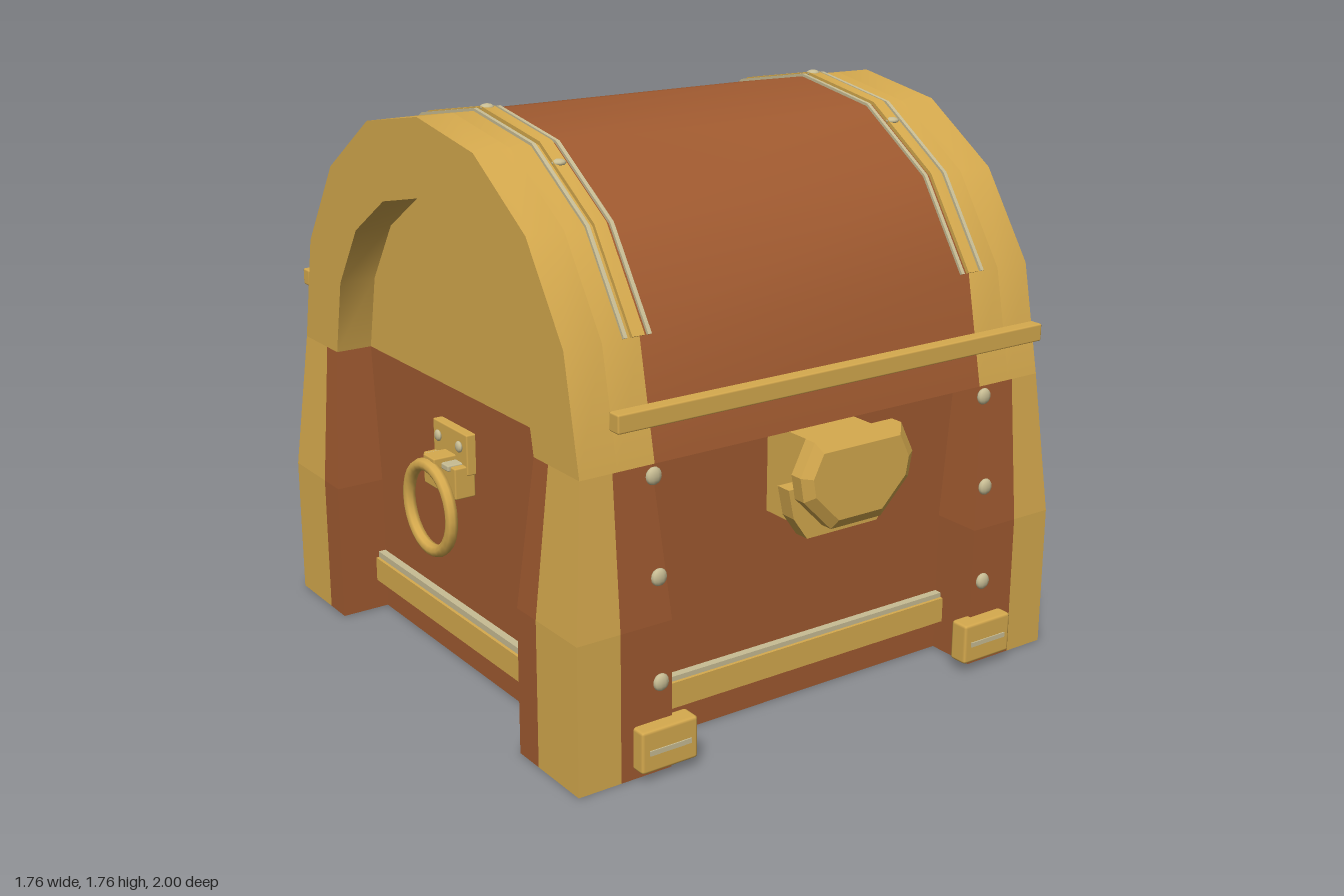
import * as THREE from 'three';
import { toCreasedNormals } from 'three/addons/utils/BufferGeometryUtils.js';
import { RoundedBoxGeometry } from 'three/addons/geometries/RoundedBoxGeometry.js';

const material = (name, color) => {
  const m = new THREE.MeshStandardMaterial({ color });
  m.name = name;
  return m;
};

export function createModel() {
  const gold = material('gold', 0xd6aa4e);
  const wood = material('wood', 0xa05a30);
  const pale = material('paleMetal', 0xc8bd94);
  const root = new THREE.Group();
  root.name = 'treasureChest';

  const add = (name, geometry, mat, x = 0, y = 0, z = 0) => {
    const mesh = new THREE.Mesh(geometry, mat);
    mesh.name = name;
    mesh.position.set(x, y, z);
    root.add(mesh);
    return mesh;
  };
  // Box given by its limits
  const box = (name, mat, x0, x1, y0, y1, z0, z1) =>
    add(name, new THREE.BoxGeometry(x1 - x0, y1 - y0, z1 - z0), mat,
      (x0 + x1) / 2, (y0 + y1) / 2, (z0 + z1) / 2);
  const rounded = (name, mat, x0, x1, y0, y1, z0, z1, r = 0.01) =>
    add(name, new RoundedBoxGeometry(x1 - x0, y1 - y0, z1 - z0, 1, r), mat,
      (x0 + x1) / 2, (y0 + y1) / 2, (z0 + z1) / 2);
  const shapeOf = (points) => new THREE.Shape(points.map(([a, b]) => new THREE.Vector2(a, b)));
  // Side profile of [z, y] points, extruded from x0 to x1
  const extrudeX = (name, mat, points, x0, x1) => {
    const g = new THREE.ExtrudeGeometry(shapeOf(points), { depth: x1 - x0, bevelEnabled: false });
    g.rotateY(-Math.PI / 2).translate(x1, 0, 0);
    return add(name, toCreasedNormals(g, 0.6), mat);
  };
  const rivet = (x, y, z, dir, r = 0.026) => {
    const m = add('rivet', new THREE.SphereGeometry(r, 10, 8), pale, x, y, z);
    m.scale[dir] = 0.5;
  };
  // Full arch from its front half
  const arch = (half) => [...half, ...half.slice(0, -1).reverse().map(([z, y]) => [-z, y])];
  const grow = (points, k) => points.map(([z, y]) => [z * k, 0.9 + (y - 0.9) * k]);

  // Body core, reaching down to the floor
  box('body', wood, -0.72, 0.72, 0, 0.9, -0.72, 0.72);

  // Corner posts: straight below, tapering toward the lid
  const taper = (c, t) => {
    const a = Math.abs(c);
    const top = 0.61 + ((a - 0.57) / 0.31) * 0.23;
    return Math.sign(c) * (a + (top - a) * t);
  };
  const postPart = (name, mat, sx, sz, x0, x1, z0, z1) => {
    let g = new THREE.BoxGeometry(x1 - x0, 0.9, z1 - z0, 1, 2, 1);
    g.translate((sx * (x0 + x1)) / 2, 0.45, (sz * (z0 + z1)) / 2);
    const p = g.attributes.position;
    for (let i = 0; i < p.count; i++) {
      const t = Math.max(0, (p.getY(i) - 0.45) / 0.45);
      p.setX(i, taper(p.getX(i), t));
      p.setZ(i, taper(p.getZ(i), t));
    }
    g = g.toNonIndexed();
    g.computeVertexNormals();
    add(name, g, mat);
  };
  for (const sx of [-1, 1]) for (const sz of [-1, 1]) {
    postPart('cornerPost', gold, sx, sz, 0.74, 0.88, 0.67, 0.88);
    postPart('postInnerFace', wood, sx, sz, 0.57, 0.74, 0.57, 0.88);
    postPart('postInnerSide', wood, sx, sz, 0.74, 0.88, 0.57, 0.67);
    for (const [y, z] of [[0.87, 0.85], [0.585, 0.875], [0.275, 0.885]])
      rivet(sx * 0.61, y, sz * z, 'z');
    // Foot clasp with a thin slot plate
    const cx = sx * 0.605;
    const zs = [sz * 0.86, sz * 0.925].sort((a, b) => a - b);
    rounded('footClasp', gold, cx - 0.095, cx + 0.095, 0.03, 0.16, zs[0], zs[1]);
    box('footClaspSlot', pale, cx - 0.07, cx + 0.07, 0.085, 0.1, sz * 0.925 - 0.004, sz * 0.925 + 0.004);
  }

  // Lower trim on all four sides with a pale top edge
  for (const s of [-1, 1]) {
    box('trimFrontBack', gold, -0.57, 0.57, 0.1, 0.18, s * 0.735 - 0.02, s * 0.735 + 0.02);
    box('trimEdge', pale, -0.57, 0.57, 0.18, 0.195, s * 0.73 - 0.015, s * 0.73 + 0.015);
    box('trimSide', gold, s * 0.735 - 0.02, s * 0.735 + 0.02, 0.1, 0.18, -0.57, 0.57);
    box('trimSideEdge', pale, s * 0.73 - 0.015, s * 0.73 + 0.015, 0.18, 0.2, -0.57, 0.57);
  }

  // Lid: wooden vault, gold ends with a recessed arch
  const outer = arch([[0.84, 0.9], [0.77, 1.24], [0.59, 1.51], [0.32, 1.69], [0, 1.745]]);
  const inner = arch([[0.61, 0.9], [0.56, 1.14], [0.43, 1.335], [0.235, 1.46], [0, 1.51]]);
  extrudeX('lidVault', wood, outer, -0.6, 0.6);
  for (const s of [-1, 1]) {
    const span = (a, b) => (s > 0 ? [a, b] : [-b, -a]);
    extrudeX('lidEnd', gold, outer, ...span(0.6, 0.72));
    extrudeX('lidArchRim', gold, [...outer, ...inner.slice().reverse()], ...span(0.72, 0.84));

    // Strap over the lid with pale side lines
    const top = outer.slice(1, -1);
    const strap = (k) => [...grow(top, k), ...grow(top, 0.99).reverse()];
    extrudeX('lidStrap', gold, strap(1.014), ...span(0.59, 0.63));
    for (const x of [0.565, 0.643]) extrudeX('strapLine', pale, strap(1.01), ...span(x, x + 0.012));
    for (const [z, y] of [[0, 1.752], [0.39, 1.65], [-0.39, 1.65]]) rivet(s * 0.61, y, z, 'y', 0.022);
  }

  // Cross bars in front of and behind the lid
  rounded('frontBar', gold, -0.77, 0.77, 1.035, 1.09, 0.875, 0.92, 0.006);
  rounded('backBar', gold, -0.77, 0.77, 1.035, 1.09, -1.0, -0.955, 0.006);

  // Hinges on the back
  const hinge = [[-0.72, 1.14], [-0.89, 1.14], [-0.96, 1.08], [-0.96, 0.81], [-0.89, 0.73], [-0.72, 0.73]];
  for (const s of [-1, 1]) {
    const cx = s * 0.49;
    extrudeX('hinge', gold, hinge, cx - 0.115, cx + 0.115);
    rounded('hingePlate', gold, cx - 0.1, cx + 0.1, 0.92, 1.1, -0.99, -0.95);
    const pin = add('hingePin', new THREE.CylinderGeometry(0.03, 0.03, 0.25, 10), gold, cx, 0.905, -0.85);
    pin.rotation.z = Math.PI / 2;
    for (const dx of [-0.07, 0.07]) rivet(cx + dx, 0.865, -0.965, 'z');
  }

  // Lock: backing block, lower plate and a bevelled face with keyhole
  box('lockBlock', gold, -0.12, 0.12, 0.62, 0.89, 0.72, 0.9);
  const plate = shapeOf([[-0.2, 0.76], [-0.18, 0.67], [-0.13, 0.6], [0.13, 0.6], [0.18, 0.67], [0.2, 0.76]]);
  add('lockPlate', new THREE.ExtrudeGeometry(plate, { depth: 0.05, bevelEnabled: false }), gold, 0, 0, 0.87);
  const face = shapeOf([[-0.175, 0.81], [-0.14, 0.88], [0.14, 0.88], [0.175, 0.81], [0.165, 0.755],
    [0.08, 0.67], [-0.08, 0.67], [-0.165, 0.755]]);
  const keyhole = [[-0.045, 0.7], [-0.025, 0.77], [-0.045, 0.8], [-0.03, 0.825], [0.03, 0.825],
    [0.045, 0.8], [0.025, 0.77], [0.045, 0.7]];
  face.holes.push(shapeOf(keyhole));
  add('lockFace', new THREE.ExtrudeGeometry(face, {
    depth: 0.04, bevelEnabled: true, bevelThickness: 0.02, bevelSize: 0.03, bevelOffset: 0, bevelSegments: 1,
  }), gold, 0, 0, 0.938);
  box('keyholeBack', gold, -0.12, 0.12, 0.67, 0.88, 0.89, 0.945);

  // Ring handles on both sides
  for (const s of [-1, 1]) {
    const side = (name, mat, a, b, y0, y1, z0, z1) =>
      rounded(name, mat, Math.min(s * a, s * b), Math.max(s * a, s * b), y0, y1, z0, z1, 0.005);
    side('handlePlate', gold, 0.71, 0.75, 0.66, 0.79, -0.14, 0.07);
    side('handleBracket', gold, 0.72, 0.79, 0.59, 0.69, -0.135, 0.065);
    side('handleEdge', pale, 0.74, 0.8, 0.675, 0.695, -0.11, 0.04);
    side('handleLoop', gold, 0.74, 0.825, 0.675, 0.71, -0.07, 0);
    for (const z of [0.03, -0.1]) rivet(s * 0.755, 0.745, z, 'x', 0.018);
    const ring = add('handleRing', new THREE.TorusGeometry(0.135, 0.02, 8, 28), gold, s * 0.825, 0.545, -0.035);
    ring.rotation.y = Math.PI / 2;
  }

  return root;
}
